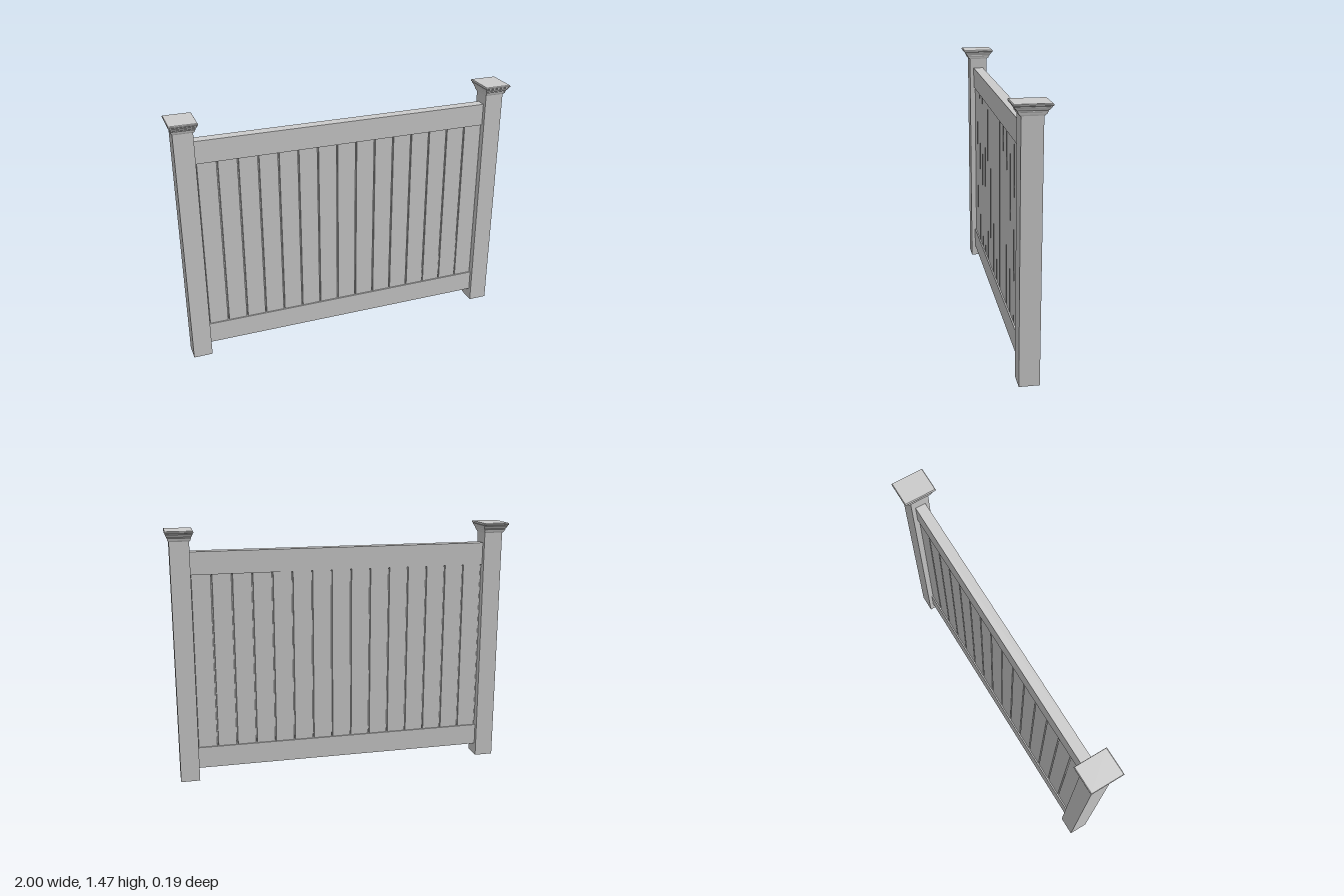
import * as THREE from 'three';

const material = new THREE.MeshStandardMaterial({ color: 0xcccccc, flatShading: true });

function box(name, w, h, d, x, y, z = 0) {
  const mesh = new THREE.Mesh(new THREE.BoxGeometry(w, h, d), material);
  mesh.name = name;
  mesh.position.set(x, y, z);
  return mesh;
}

// Stacked rectangular rings [halfX, y, halfZ], closed at both ends
function ringSolid(rings) {
  const corners = [[1, 1], [1, -1], [-1, -1], [-1, 1]];
  const pos = rings.flatMap(([x, y, z]) => corners.flatMap(([a, b]) => [a * x, y, b * z]));
  const index = [0, 2, 1, 0, 3, 2];
  for (let i = 0; i < rings.length - 1; i++) {
    for (let j = 0; j < 4; j++) {
      const a = i * 4 + j, b = i * 4 + (j + 1) % 4;
      index.push(a, b, b + 4, a, b + 4, a + 4);
    }
  }
  const t = (rings.length - 1) * 4;
  index.push(t, t + 1, t + 2, t, t + 2, t + 3);
  const g = new THREE.BufferGeometry();
  g.setAttribute('position', new THREE.Float32BufferAttribute(pos, 3));
  g.setIndex(index);
  const flat = g.toNonIndexed();
  flat.computeVertexNormals();
  return flat;
}

// Board with chamfered long edges
function boardGeometry(w, h, d, c) {
  const x = w / 2, z = d / 2;
  const shape = new THREE.Shape([
    [-x + c, -z], [x - c, -z], [x, -z + c], [x, z - c],
    [x - c, z], [-x + c, z], [-x, z - c], [-x, -z + c],
  ].map(([a, b]) => new THREE.Vector2(a, b)));
  return new THREE.ExtrudeGeometry(shape, { depth: h, bevelEnabled: false }).rotateX(-Math.PI / 2);
}

export function createModel() {
  const group = new THREE.Group();
  group.name = 'fencePanel';

  // Posts with stepped moulded caps; the cap overhangs more in z than in x
  const post = 0.055, postX = 0.922;
  const capProfile = [
    [0.12, 1.411], [0.2, 1.418], [0.3, 1.418], [0.36, 1.428], [0.47, 1.432],
    [0.47, 1.437], [0.6, 1.441], [0.72, 1.449], [0.84, 1.453], [0.84, 1.457],
    [1, 1.461], [1, 1.467], [0.9, 1.471],
  ];
  const capGeometry = ringSolid(capProfile.map(([t, y]) => [post + t * 0.023, y, post + t * 0.041]));
  for (const [side, s] of [['left', 1], ['right', -1]]) {
    group.add(box(side + 'Post', post * 2, 1.42, post * 2, s * postX, 0.71));
    const cap = new THREE.Mesh(capGeometry, material);
    cap.name = side + 'PostCap';
    cap.position.x = s * postX;
    group.add(cap);
  }

  // Rails
  const span = 1.734;
  group.add(box('topRail', span, 0.13, 0.062, 0, 1.285));
  group.add(box('bottomRail', span, 0.126, 0.062, 0, 0.133));

  // Vertical boards, joined by short tongues in the grooves
  const count = 15, pitch = 1.73 / count, gap = 0.005;
  const board = boardGeometry(pitch - gap, 1.05, 0.046, 0.002);
  for (let i = 0; i < count; i++) {
    const x = -0.865 + pitch * (i + 0.5) + gap / 2;
    const mesh = new THREE.Mesh(board, material);
    mesh.name = 'board' + (i + 1);
    mesh.position.set(x, 0.18, 0);
    group.add(mesh);
    group.add(box('tongue' + (i + 1), 0.012, 0.99, 0.03, x - pitch / 2, 0.715));
  }
  return group;
}
